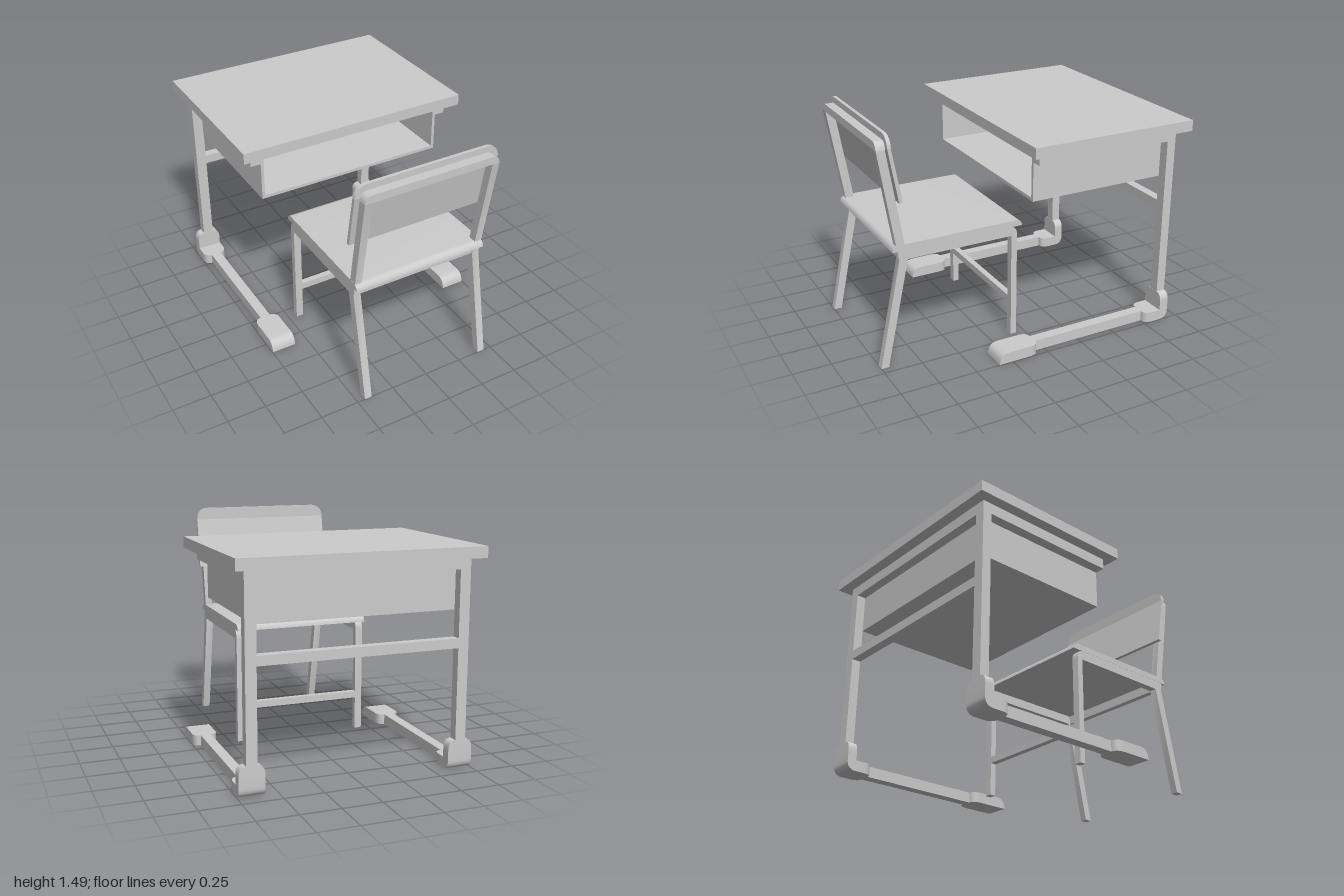
import * as THREE from 'three';
import { toCreasedNormals } from 'three/addons/utils/BufferGeometryUtils.js';

const grey = new THREE.MeshStandardMaterial({ color: 0xcccccc });

function add(parent, name, geometry) {
  const mesh = new THREE.Mesh(geometry, grey);
  mesh.name = name;
  parent.add(mesh);
  return mesh;
}

// Box given by its limits on each axis
function box(parent, name, [x0, x1], [y0, y1], [z0, z1]) {
  const g = new THREE.BoxGeometry(x1 - x0, y1 - y0, z1 - z0);
  g.translate((x0 + x1) / 2, (y0 + y1) / 2, (z0 + z1) / 2);
  return add(parent, name, g);
}

// Outline from points; [cx, cy, x, y] is a curve through a control point
function outline(points) {
  const s = new THREE.Shape();
  s.moveTo(points[0][0], points[0][1]);
  for (const p of points.slice(1)) {
    if (p.length === 4) s.quadraticCurveTo(...p);
    else s.lineTo(...p);
  }
  return s;
}

function extrude(points, depth) {
  const g = new THREE.ExtrudeGeometry(outline(points), { depth, bevelEnabled: false, curveSegments: 8 });
  return toCreasedNormals(g, 0.6);
}

// Side profile in (z, y), extruded between two x limits
function side(parent, name, points, [x0, x1]) {
  const g = extrude(points, x1 - x0);
  g.rotateY(-Math.PI / 2).translate(x1, 0, 0);
  return add(parent, name, g);
}

// Front profile in (x, y), extruded between two z limits
function front(parent, name, points, [z0, z1]) {
  return add(parent, name, extrude(points, z1 - z0).translate(0, 0, z0));
}

function buildDesk() {
  const desk = new THREE.Group();
  desk.name = 'desk';
  box(desk, 'desktop', [-0.77, 0.77], [1.31, 1.38], [-1, 0.125]);

  // Book tray, open to the sitter
  const tray = new THREE.Group();
  tray.name = 'bookTray';
  desk.add(tray);
  box(tray, 'trayFloor', [-0.635, 0.635], [0.99, 1.01], [-0.87, 0.06]);
  box(tray, 'trayBack', [-0.615, 0.615], [1.01, 1.31], [-0.87, -0.85]);
  for (const s of [-1, 1]) {
    const x = s * 0.625;
    box(tray, 'traySide', [x - 0.01, x + 0.01], [1.01, 1.31], [-0.87, 0.06]);
  }

  // Rear crossbars
  box(desk, 'upperCrossbar', [-0.635, 0.635], [1.24, 1.31], [-0.93, -0.87]);
  box(desk, 'lowerCrossbar', [-0.635, 0.635], [0.765, 0.825], [-0.93, -0.87]);

  // Rounded end shared by the heel and the toe pad
  const cap = [[-0.08, 0], [0.08, 0], [0.08, 0.01], [0.08, 0.07, 0.03, 0.07],
    [-0.03, 0.07], [-0.08, 0.07, -0.08, 0.01]];

  for (const s of [-1, 1]) {
    const leg = new THREE.Group();
    leg.name = s > 0 ? 'leftDeskLeg' : 'rightDeskLeg';
    leg.position.x = s * 0.667;
    desk.add(leg);
    const tube = [-0.034, 0.034], wide = [-0.08, 0.08];
    box(leg, 'upright', tube, [0.18, 1.31], [-0.93, -0.87]);
    box(leg, 'topArm', tube, [1.24, 1.31], [-0.87, 0.06]);
    box(leg, 'footBar', tube, [0, 0.07], [-0.76, 0.08]);

    // Bent heel with rounded ends
    side(leg, 'heel', [[-0.93, 0.12], [-0.93, 0.06], [-0.93, 0, -0.87, 0], [-0.82, 0],
      [-0.82, 0.07], [-0.868, 0.07], [-0.868, 0.12]], wide);
    add(leg, 'heelTop', extrude(cap, 0.062).translate(0, 0.12, -0.93));
    add(leg, 'heelEnd', extrude(cap, 0.07).rotateX(Math.PI / 2).translate(0, 0.07, -0.82));

    // Toe pad with a sloping rounded tip
    side(leg, 'toePad', [[0.135, 0], [0.34, 0], [0.335, 0.07, 0.275, 0.07], [0.135, 0.07]], wide);
    add(leg, 'toePadEnd', extrude(cap, 0.07).rotateX(-Math.PI / 2).translate(0, 0, 0.135));
  }
  return desk;
}

function buildChair() {
  const chair = new THREE.Group();
  chair.name = 'chair';

  // Seat board with rounded front and rear lips
  side(chair, 'seat', [[0.025, 0.76], [0.895, 0.76], [0.89, 0.8, 0.85, 0.8],
    [0.07, 0.8], [0.03, 0.8, 0.025, 0.76]], [-0.45, 0.45]);

  for (const s of [-1, 1]) {
    const x = s * 0.425, span = [x - 0.024, x + 0.024];
    // Front leg bending into the seat rail
    side(chair, 'frontLegAndRail', [[0.06, 0], [0.1, 0], [0.1, 0.7], [0.82, 0.7], [0.82, 0.76],
      [0.1, 0.76], [0.06, 0.755, 0.06, 0.7]], span);
    // Splayed rear leg continuing into the back post
    side(chair, 'rearLegAndPost', [[0.95, 0], [1, 0], [0.855, 0.7], [0.97, 1.4],
      [0.915, 1.4], [0.8, 0.7]], span);
  }

  box(chair, 'rearSeatBar', [-0.402, 0.402], [0.7, 0.76], [0.81, 0.85]);
  box(chair, 'legCrossbar', [-0.402, 0.402], [0.22, 0.265], [0.06, 0.1]);
  front(chair, 'topBar', [[-0.449, 1.4], [0.449, 1.4], [0.449, 1.405, 0.4, 1.45],
    [0.4, 1.45], [-0.4, 1.45], [-0.44, 1.45, -0.449, 1.4]].map((p, i) =>
    i === 2 ? [0.44, 1.45, 0.4, 1.45] : p).filter((p, i) => i !== 3), [0.912, 0.97]);

  // Backrest: leaning panel, upright rounded top
  side(chair, 'backrestPanel', [[0.83, 1.078], [0.853, 1.075], [0.912, 1.41], [0.89, 1.41]], [-0.48, 0.48]);
  const top = new THREE.Shape();
  top.moveTo(-0.48, 1.41);
  top.lineTo(0.48, 1.41);
  top.absarc(0.4, 1.41, 0.08, 0, Math.PI / 2);
  top.absarc(-0.4, 1.41, 0.08, Math.PI / 2, Math.PI);
  const g = new THREE.ExtrudeGeometry(top, { depth: 0.022, bevelEnabled: false, curveSegments: 10 });
  add(chair, 'backrestTop', toCreasedNormals(g.translate(0, 0, 0.89), 0.6));
  return chair;
}

export function createModel() {
  const model = new THREE.Group();
  model.name = 'schoolDeskAndChair';
  model.add(buildDesk(), buildChair());
  return model;
}
